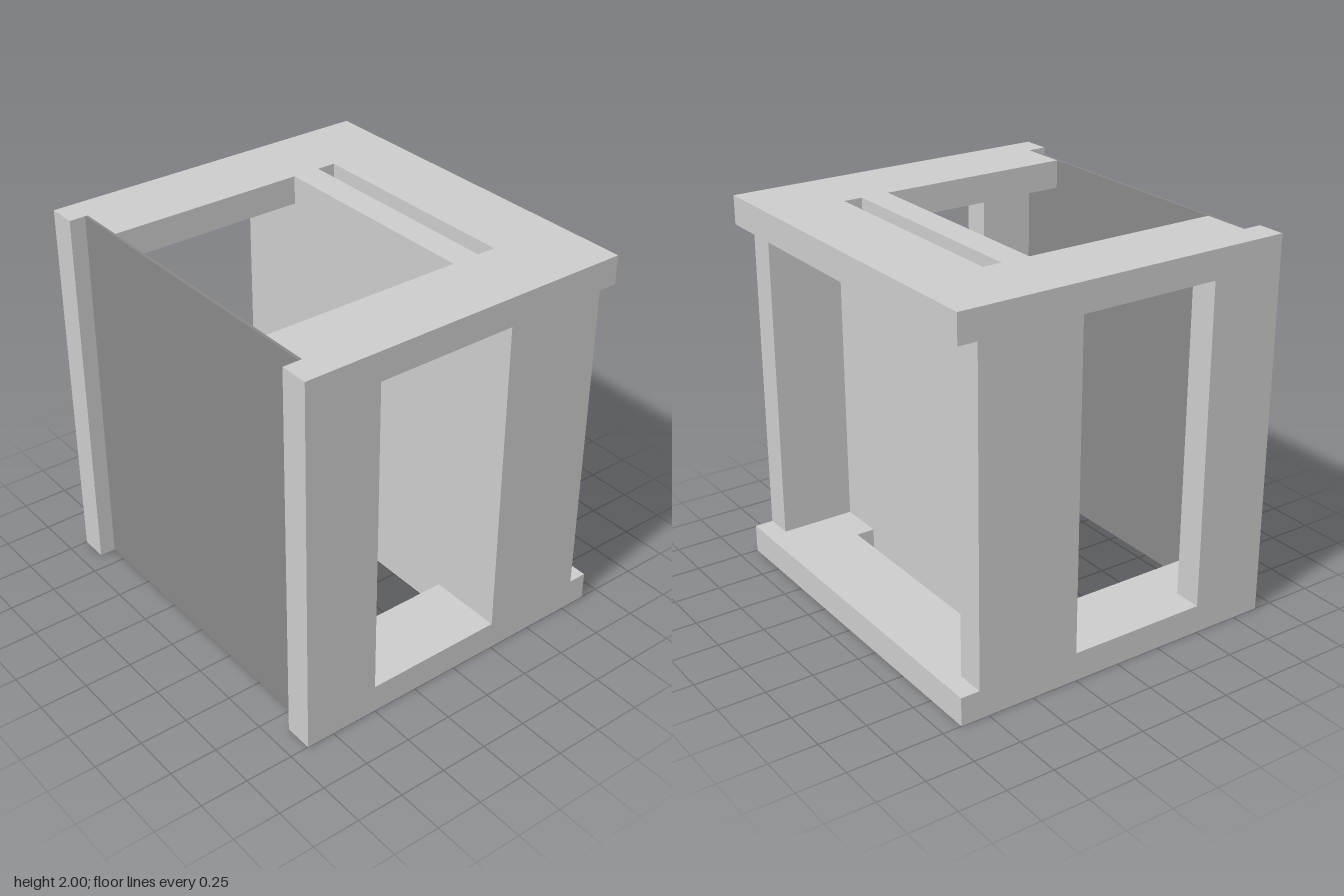
import * as THREE from 'three';

const grey = new THREE.MeshStandardMaterial({ color: 0xcccccc });
const dark = new THREE.MeshStandardMaterial({ color: 0x888888 });
const T = 0.15; // board thickness

const toPoints = (list) => list.map(([a, b]) => new THREE.Vector2(a, b));

// Board cut from an outline with one rectangular hole [a0, b0, a1, b1]
function board(outline, [a0, b0, a1, b1]) {
  const shape = new THREE.Shape(toPoints(outline));
  shape.holes.push(new THREE.Path(toPoints([[a0, b0], [a0, b1], [a1, b1], [a1, b0]])));
  return new THREE.ExtrudeGeometry(shape, { depth: T, bevelEnabled: false });
}

function add(group, name, geometry, material, x = 0, y = 0, z = 0) {
  const mesh = new THREE.Mesh(geometry, material);
  mesh.name = name;
  mesh.position.set(x, y, z);
  group.add(mesh);
}

export function createModel() {
  const group = new THREE.Group();
  group.name = 'openCabinet';

  // Side panels: outline in (z, y), rear edge notched between top and bottom lips
  const side = board(
    [[-0.9, 0], [0.9, 0], [0.9, 2], [-0.9, 2], [-0.9, 1.85], [-0.8, 1.85], [-0.8, 0.15], [-0.9, 0.15]],
    [-0.25, 0.15, 0.5, 1.85]
  ).rotateY(-Math.PI / 2);
  add(group, 'leftSide', side, grey, 1);
  add(group, 'rightSide', side, grey, -0.85);

  // Top and bottom plates: outline in (x, z), U-shaped with a slot behind the partition
  const plate = board(
    [[-0.85, -0.9], [0.85, -0.9], [0.85, 0.8], [0.6, 0.8], [0.6, -0.25], [-0.6, -0.25], [-0.6, 0.8], [-0.85, 0.8]],
    [-0.6, -0.5, 0.6, -0.4]
  ).rotateX(Math.PI / 2);
  add(group, 'topPlate', plate, grey, 0, 2);
  add(group, 'bottomPlate', plate, grey, 0, T);

  // Inner partition between the two plates
  add(group, 'partition', new THREE.BoxGeometry(1.7, 1.7, T), grey, 0, 1, -0.325);

  // Thin dark front sheet, set back between the side panels
  add(group, 'frontSheet', new THREE.BoxGeometry(1.7, 2, 0.015), dark, 0, 1, 0.8075);

  return group;
}
